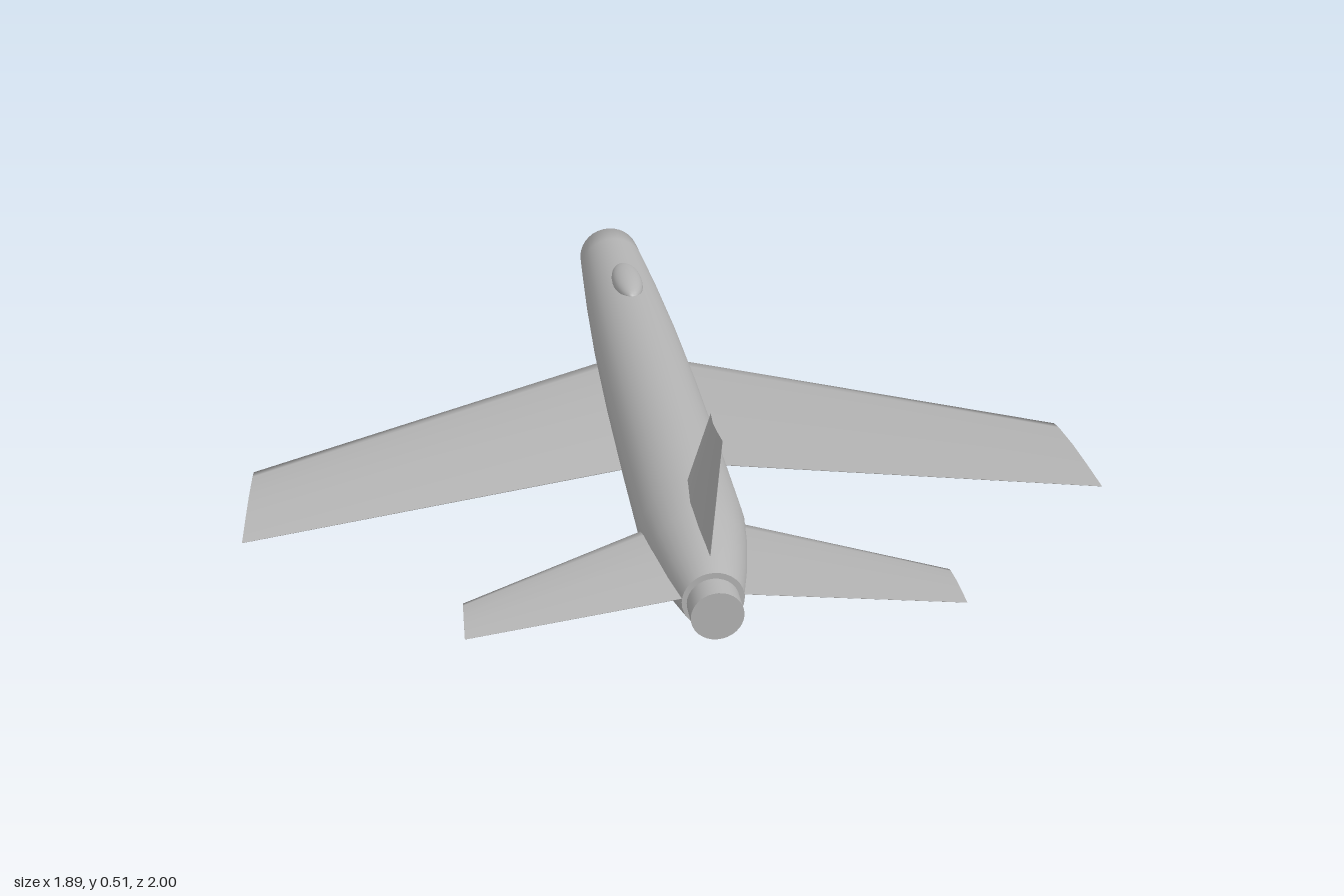
import * as THREE from 'three';

const grey = new THREE.MeshStandardMaterial({ color: 0xb3b3b3 });
grey.name = 'airframe grey';

// Smooth skin through equal-sized rings of points, with flat end caps.
function loft(rings) {
  const n = rings[0].length;
  const pos = rings.flat().flatMap(p => p.toArray());
  let idx = [];
  for (let i = 0; i < rings.length - 1; i++) {
    for (let j = 0; j < n; j++) {
      const a = i * n + j, b = i * n + (j + 1) % n;
      idx.push(a, b, b + n, a, b + n, a + n);
    }
  }
  const addCap = (ring, flip) => {
    const base = pos.length / 3;
    const mid = ring.reduce((s, p) => s.add(p), new THREE.Vector3()).divideScalar(n);
    pos.push(...ring.flatMap(p => p.toArray()), ...mid.toArray());
    for (let j = 0; j < n; j++) {
      const a = base + j, b = base + (j + 1) % n;
      idx.push(...(flip ? [b, a, base + n] : [a, b, base + n]));
    }
  };
  addCap(rings[0], true);
  addCap(rings[rings.length - 1], false);
  // Turn the faces outwards if the enclosed volume is negative.
  const v = i => new THREE.Vector3().fromArray(pos, i * 3);
  let volume = 0;
  for (let t = 0; t < idx.length; t += 3) {
    volume += v(idx[t]).dot(v(idx[t + 1]).cross(v(idx[t + 2])));
  }
  if (volume < 0) idx.reverse();
  const g = new THREE.BufferGeometry();
  g.setAttribute('position', new THREE.Float32BufferAttribute(pos, 3));
  g.setIndex(idx);
  g.computeVertexNormals();
  return g;
}

// Circular section of a body along z.
function circle([z, r, y], n = 32) {
  return Array.from({ length: n }, (_, i) => {
    const a = i / n * Math.PI * 2;
    return new THREE.Vector3(Math.cos(a) * r, y + Math.sin(a) * r, z);
  });
}

// Thin symmetric aerofoil: [fraction of chord, fraction of thickness].
const foil = [[0, 0], [0.1, 0.3], [0.4, 0.5], [0.7, 0.32], [1, 0.02],
  [1, -0.02], [0.7, -0.32], [0.4, -0.5], [0.1, -0.3]];

// Section at a span station; place() maps span, thickness offset and z.
const foilRing = ([span, height, z0, z1, thick], place) =>
  foil.map(([c, t]) => place(span, height + t * thick, z0 + c * (z1 - z0)));

export function createModel() {
  const group = new THREE.Group();
  const add = (name, geometry) => {
    const mesh = new THREE.Mesh(geometry, grey);
    mesh.name = name;
    group.add(mesh);
    return mesh;
  };

  // Body: blunt nose at -z, tapered tail at +z
  add('fuselage', loft([
    [-1, 0.002, 0.113], [-1, 0.086, 0.113], [-0.9, 0.091, 0.113],
    [-0.65, 0.102, 0.114], [-0.35, 0.111, 0.116], [0, 0.115, 0.12],
    [0.35, 0.115, 0.123], [0.64, 0.113, 0.126], [0.74, 0.101, 0.126],
    [0.84, 0.082, 0.126], [0.915, 0.063, 0.125],
  ].map(s => circle(s))));
  add('exhaustNozzle', loft([[0.88, 0.053, 0.122], [0.968, 0.053, 0.122]].map(s => circle(s))));

  // Canopy half sunk into the spine
  const canopy = add('canopy', new THREE.SphereGeometry(1, 28, 18));
  canopy.scale.set(0.04, 0.03, 0.125);
  canopy.position.set(0, 0.217, -0.535);
  canopy.rotation.x = -0.03;

  // Swept wings and tailplanes, mirrored
  for (const [side, s] of [['left', 1], ['right', -1]]) {
    const place = (x, y, z) => new THREE.Vector3(s * x, y, z);
    add(side + 'Wing', loft([
      [0.06, 0.052, -0.4, 0.21, 0.042], [0.945, 0.104, 0.22, 0.535, 0.016],
    ].map(r => foilRing(r, place))));
    add(side + 'Tailplane', loft([
      [0.02, 0.133, 0.59, 0.905, 0.022], [0.49, 0.133, 0.875, 1, 0.01],
    ].map(r => foilRing(r, place))));
  }

  // Upright fin
  const upright = (y, x, z) => new THREE.Vector3(x, y, z);
  add('tailFin', loft([
    [0.18, 0, 0.543, 0.863, 0.034], [0.515, 0, 0.86, 0.985, 0.012],
  ].map(r => foilRing(r, upright))));

  return group;
}
